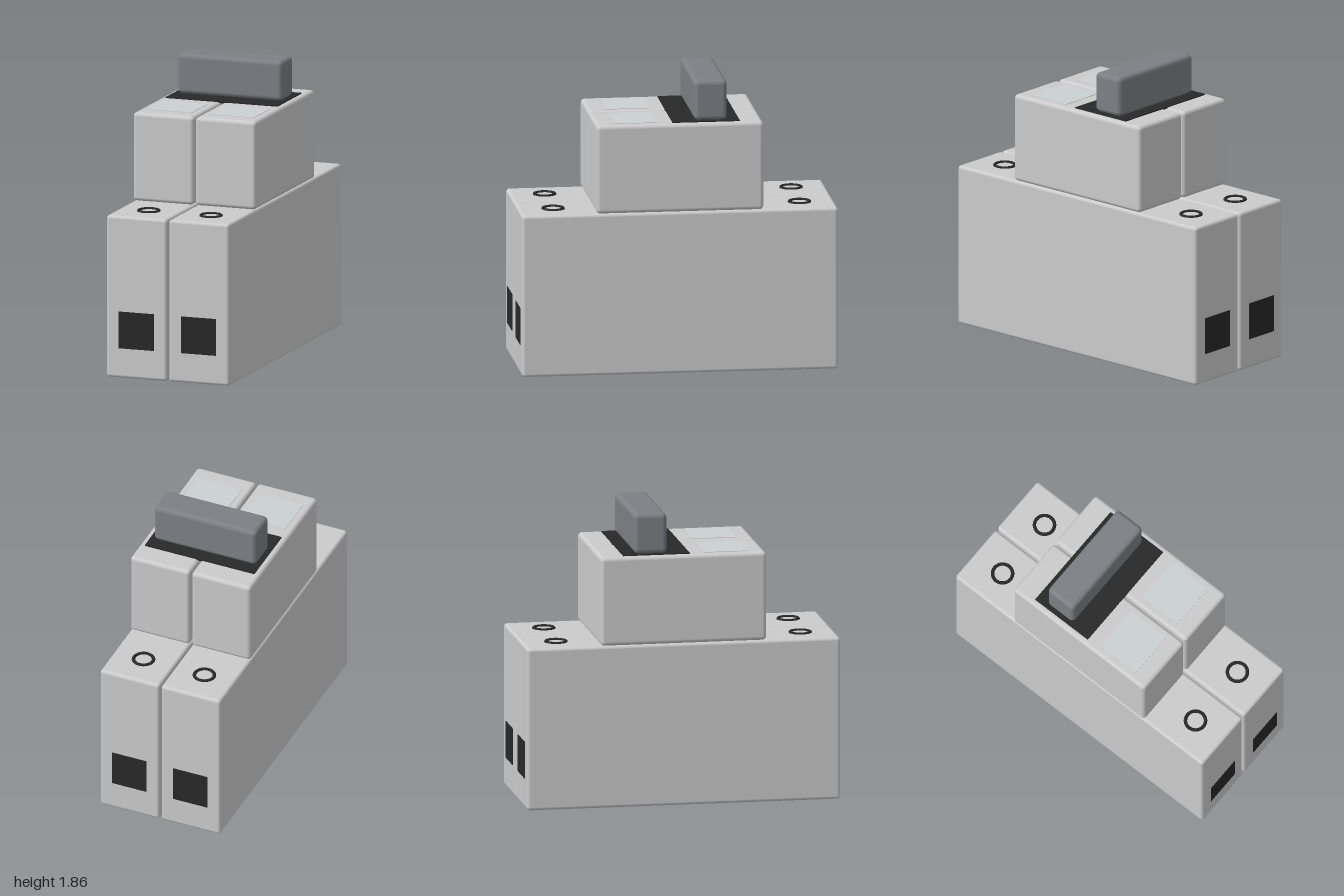
import * as THREE from 'three';
import { RoundedBoxGeometry } from 'three/addons/geometries/RoundedBoxGeometry.js';

export function createModel() {
  const model = new THREE.Group();
  model.name = 'circuitBreaker';

  const grey = new THREE.MeshStandardMaterial({ color: 0xcccccc });
  const black = new THREE.MeshStandardMaterial({ color: 0x282828 });
  const slate = new THREE.MeshStandardMaterial({ color: 0x7c8085 });
  const pale = new THREE.MeshStandardMaterial({ color: 0xcbd0d4 });

  function add(parent, name, geometry, material, x, y, z) {
    const mesh = new THREE.Mesh(geometry, material);
    mesh.name = name;
    mesh.position.set(x, y, z);
    parent.add(mesh);
    return mesh;
  }

  const baseGeo = new RoundedBoxGeometry(0.405, 1.035, 1.994, 4, 0.02);
  const upperGeo = new RoundedBoxGeometry(0.405, 0.565, 1.054, 4, 0.025);
  const labelGeo = new THREE.BoxGeometry(0.3, 0.006, 0.28);
  const terminalGeo = new THREE.BoxGeometry(0.235, 0.235, 0.012);
  const screwGeo = new THREE.TorusGeometry(0.063, 0.011, 12, 40).rotateX(Math.PI / 2);

  // Two identical poles side by side
  for (const side of [-1, 1]) {
    const pole = new THREE.Group();
    pole.name = side > 0 ? 'leftPole' : 'rightPole';
    pole.position.x = side * 0.2085;
    model.add(pole);

    add(pole, 'base', baseGeo, grey, 0, 0.5175, 0);
    add(pole, 'upperBody', upperGeo, grey, 0, 1.3175, 0);
    add(pole, 'label', labelGeo, pale, 0, 1.6, 0.275);

    // Terminal openings and screw rings at both ends
    for (const end of [-1, 1]) {
      add(pole, 'terminal', terminalGeo, black, 0, 0.3075, end * 0.994);
      add(pole, 'screwRing', screwGeo, black, 0, 1.035, end * 0.778);
    }
  }

  // Shared switch: dark plate and the bar joining both poles
  add(model, 'switchPlate', new THREE.BoxGeometry(0.75, 0.012, 0.424), black, 0, 1.6, -0.168);
  add(model, 'switchBar', new RoundedBoxGeometry(0.7, 0.256, 0.208, 4, 0.03), slate, 0, 1.731, -0.2);

  return model;
}
